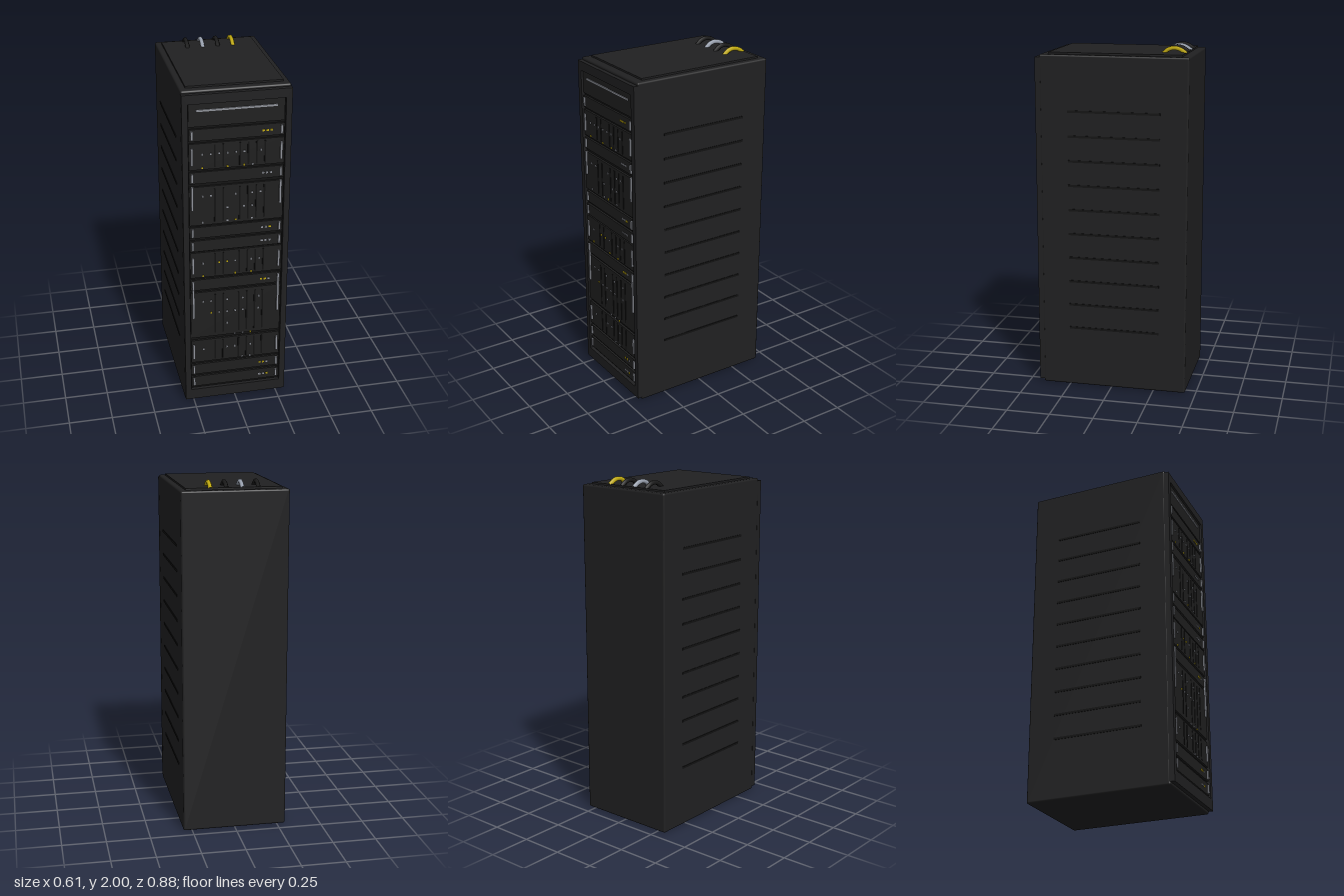
import * as THREE from 'three';
import { RoundedBoxGeometry } from 'three/addons/geometries/RoundedBoxGeometry.js';

export function createModel() {
  const root = new THREE.Group();
  root.name = 'serverCabinet';
  const mat = (name, color) => {
    const m = new THREE.MeshStandardMaterial({ color });
    m.name = name;
    return m;
  };
  const shell = mat('cabinet black', 0x202021);
  const face = mat('unit charcoal', 0x1f1f1f);
  const dark = mat('recess black', 0x121212);
  const rubber = mat('cable black', 0x1a1a1a);
  const metal = mat('handle grey', 0x8f929a);
  const greyCable = mat('cable grey', 0x9ca4b2);
  const yellow = mat('yellow', 0xc4ad10);

  const add = (parent, name, geometry, material, x = 0, y = 0, z = 0) => {
    const m = new THREE.Mesh(geometry, material);
    m.name = name;
    m.position.set(x, y, z);
    parent.add(m);
    return m;
  };
  const box = (parent, name, material, w, h, d, x, y, z) =>
    add(parent, name, new THREE.BoxGeometry(w, h, d), material, x, y, z);

  // Cabinet shell and raised roof plate
  add(root, 'cabinetBody', new RoundedBoxGeometry(0.6, 1.95, 0.85, 2, 0.01), shell, 0, 0.978, -0.013);
  box(root, 'roofPlate', shell, 0.534, 0.012, 0.762, 0, 1.957, -0.014);

  // Front frame around the equipment bay
  const frame = new THREE.Shape();
  frame.moveTo(-0.3, 0.02).lineTo(0.3, 0.02).lineTo(0.3, 1.938).lineTo(-0.3, 1.938).closePath();
  const opening = new THREE.Path();
  opening.moveTo(-0.267, 0.085).lineTo(-0.267, 1.885).lineTo(0.267, 1.885).lineTo(0.267, 0.085).closePath();
  frame.holes.push(opening);
  add(root, 'frontFrame', new THREE.ExtrudeGeometry(frame, { depth: 0.032, bevelEnabled: false }), shell, 0, 0, 0.405);
  box(root, 'bayBack', dark, 0.534, 1.8, 0.008, 0, 0.985, 0.412);

  // Blank top panel with a light strip
  box(root, 'topPanel', face, 0.526, 0.128, 0.014, 0, 1.818, 0.419);
  box(root, 'lightStrip', metal, 0.445, 0.011, 0.006, 0, 1.845, 0.428);

  const handles = (parent, y, h) => {
    for (const s of [-1, 1]) box(parent, 'handle', metal, 0.012, h, 0.012, s * 0.247, y, 0.431);
  };

  // Slim servers, each with three status lights
  const slim = [[1.706, 'yyy'], [1.457, 'ggg'], [1.124, 'ggy'], [1.04, 'ggg'],
    [0.79, 'yyg'], [0.22, 'yyg'], [0.135, 'ggy']];
  for (const [y, lights] of slim) {
    const unit = new THREE.Group();
    unit.name = 'slimServer';
    root.add(unit);
    box(unit, 'faceplate', face, 0.526, 0.068, 0.016, 0, y, 0.42);
    handles(unit, y, 0.05);
    [...lights].forEach((c, i) => box(unit, 'statusLight', c === 'y' ? yellow : metal,
      0.013, 0.01, 0.004, 0.147 + i * 0.022, y, 0.43));
  }

  // Large chassis: bottom, top, handle height, first light row, then lit columns per row
  const chassis = [
    [1.505, 1.658, 0.1, 1.595, ['gggggg.g', 'y..y.yg.']],
    [1.17, 1.403, 0.14, 1.347, ['gg..g.gg', '...g.gg.', 'g..gy.g.']],
    [0.838, 0.998, 0.1, 0.929, ['g.yyg.gg', 'y...y.y.']],
    [0.44, 0.741, 0.19, 0.68, ['gg.g.g.g', '.ygggg.g', '...g....', '....ggy.']],
    [0.27, 0.42, 0.095, 0.357, ['g..gg.g.', '.....gg.']],
  ];
  for (const [y0, y1, hh, top, rows] of chassis) {
    const unit = new THREE.Group();
    unit.name = 'largeChassis';
    root.add(unit);
    const mid = (y0 + y1) / 2, h = y1 - y0;
    box(unit, 'faceplate', face, 0.526, h, 0.016, 0, mid, 0.42);
    handles(unit, top - 0.012, hh);
    // Dark patch leads hanging down the face
    for (const i of [1, 2, 4, 5, 6, 7]) {
      box(unit, 'patchLead', dark, 0.009, h * 0.86, 0.003, -0.167 + i * 0.0463, mid, 0.429);
    }
    rows.forEach((row, r) => [...row].forEach((c, i) => {
      if (c === 'g' || c === 'y') {
        box(unit, 'portLight', c === 'y' ? yellow : metal, 0.009, 0.009, 0.005,
          -0.19 + i * 0.0463, top - r * 0.0794, 0.431);
      }
    }));
  }

  // Ten vent strips on each side
  for (const s of [-1, 1]) {
    for (let i = 0; i < 10; i++) {
      box(root, 'sideVent', dark, 0.006, 0.013, 0.53, s * 0.3, 0.357 + i * 0.1422, -0.015);
    }
  }

  // Cable loops on the roof
  const path = new THREE.CatmullRomCurve3([[1.955, -0.262], [1.979, -0.29], [1.988, -0.325],
    [1.98, -0.36], [1.957, -0.394]].map(([y, z]) => new THREE.Vector3(0, y, z)));
  [rubber, greyCable, rubber, yellow].forEach((m, i) =>
    add(root, 'roofCable', new THREE.TubeGeometry(path, 14, 0.0125, 6), m, -0.135 + i * 0.0887));

  return root;
}
